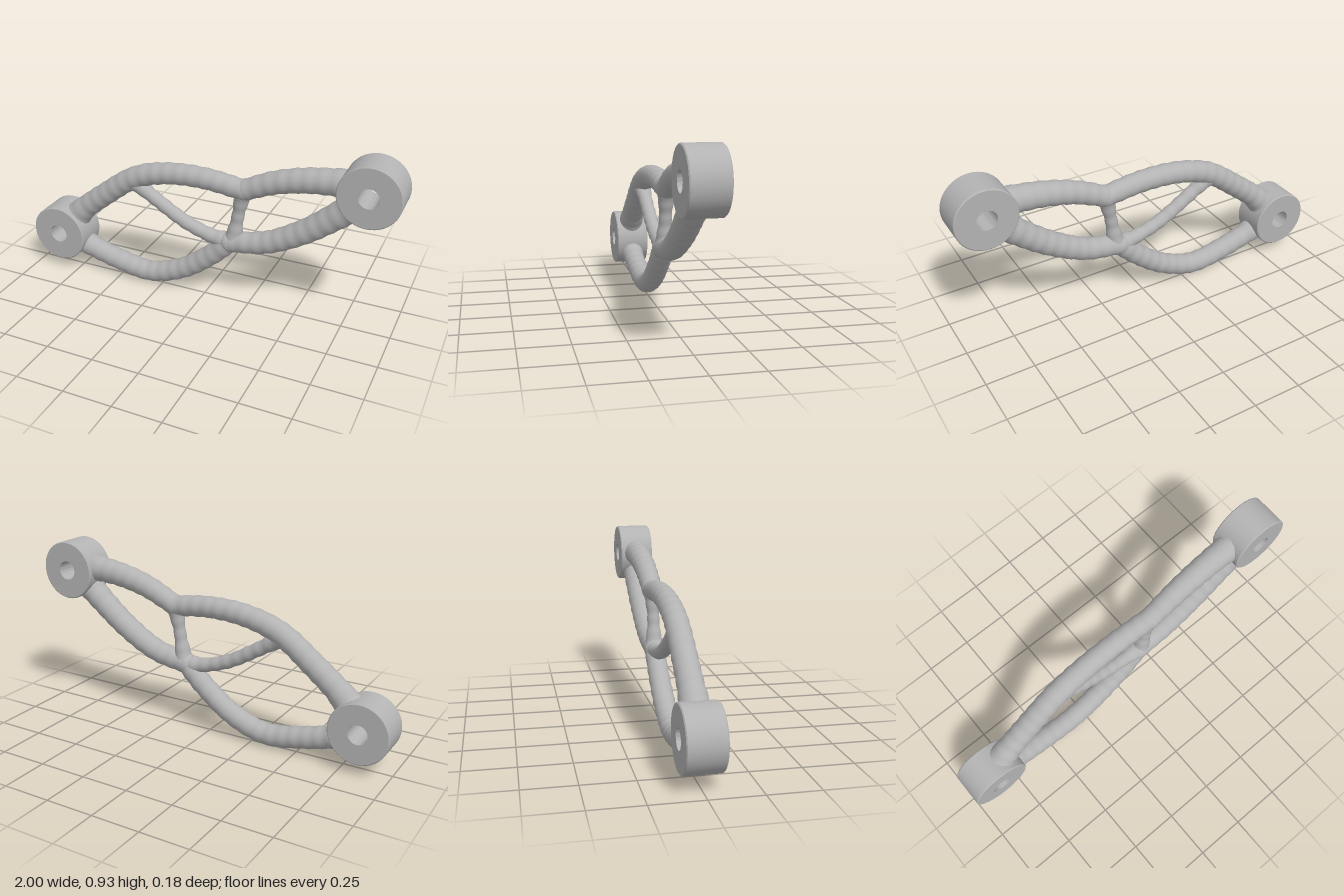
import * as THREE from 'three';
import { mergeVertices, toCreasedNormals } from 'three/addons/utils/BufferGeometryUtils.js';

const SIDES = 20;

// Round bar swept along a planar path; the radius runs r0 -> r1 with a slight
// ripple and flares (f0, f1) where it melts into its neighbour.
function bar(name, pts, r0, r1, f0, f1, material) {
  const curve = new THREE.CatmullRomCurve3(pts.map(([x, y]) => new THREE.Vector3(x, y, 0)));
  const length = curve.getLength();
  const seg = Math.ceil(length / 0.014);
  const geo = new THREE.TubeGeometry(curve, seg, 1, SIDES, false);
  const pos = geo.attributes.position;
  const v = new THREE.Vector3();
  for (let i = 0; i <= seg; i++) {
    const t = i / seg;
    const centre = curve.getPointAt(t);
    const r = THREE.MathUtils.lerp(r0, r1, t)
      + 0.0016 * Math.sin((t * length * 2 * Math.PI) / 0.068)
      + f0 * Math.exp(-((t * length / 0.075) ** 2))
      + f1 * Math.exp(-(((1 - t) * length / 0.075) ** 2));
    for (let j = 0; j <= SIDES; j++) {
      const k = i * (SIDES + 1) + j;
      v.fromBufferAttribute(pos, k).sub(centre).multiplyScalar(r).add(centre);
      pos.setXYZ(k, v.x, v.y, v.z);
    }
  }
  // weld the seam so the shading stays smooth
  geo.deleteAttribute('uv');
  geo.deleteAttribute('normal');
  const welded = mergeVertices(geo, 1e-5);
  welded.computeVertexNormals();
  const mesh = new THREE.Mesh(welded, material);
  mesh.name = name;
  return mesh;
}

// Thick ring with a through hole along z and slightly broken edges
function boss(name, x, y, material) {
  const R = 0.155, hole = 0.05, h = 0.09, c = 0.005;
  const profile = [
    [hole, -h], [R - c, -h], [R, -h + c], [R, h - c], [R - c, h], [hole, h], [hole, -h],
  ].map(([px, py]) => new THREE.Vector2(px, py));
  const geo = toCreasedNormals(new THREE.LatheGeometry(profile, 48), 0.6);
  geo.rotateX(Math.PI / 2);
  const mesh = new THREE.Mesh(geo, material);
  mesh.name = name;
  mesh.position.set(x, y, 0);
  return mesh;
}

function joint(name, x, y, r, material) {
  const mesh = new THREE.Mesh(new THREE.SphereGeometry(r, 24, 16), material);
  mesh.name = name;
  mesh.position.set(x, y, 0);
  return mesh;
}

export function createModel() {
  const group = new THREE.Group();
  group.name = 'linkArm';
  const grey = new THREE.MeshStandardMaterial({ color: 0xb3b3b3 });
  grey.name = 'grey metal';

  const upper = [0.21, 0.655];
  const lower = [0.14, 0.348];

  group.add(
    // mounting bosses
    boss('lowerBoss', -0.845, 0.215, grey),
    boss('upperBoss', 0.845, 0.775, grey),

    // upper chord
    bar('upperChordLong',
      [[-0.775, 0.3], [-0.72, 0.36], [-0.58, 0.475], [-0.39, 0.61], [-0.21, 0.665], [0, 0.678], upper],
      0.062, 0.053, 0.012, 0, grey),
    bar('upperChordShort',
      [upper, [0.38, 0.73], [0.54, 0.77], [0.7, 0.788], [0.76, 0.79]],
      0.053, 0.068, 0, 0.004, grey),

    // lower chord
    bar('lowerChordLong',
      [[-0.77, 0.17], [-0.71, 0.14], [-0.53, 0.088], [-0.32, 0.06], [-0.13, 0.125], [0.035, 0.245], lower],
      0.057, 0.054, 0.012, 0, grey),
    bar('lowerChordShort',
      [lower, [0.33, 0.387], [0.52, 0.488], [0.68, 0.61], [0.77, 0.69]],
      0.054, 0.067, 0, 0.004, grey),

    // inner brace and strut
    bar('curvedBrace',
      [[-0.41, 0.59], [-0.26, 0.495], [-0.1, 0.405], [0.04, 0.36], lower],
      0.036, 0.036, 0.012, 0.012, grey),
    bar('strut', [upper, [0.185, 0.52], [0.16, 0.365]], 0.031, 0.031, 0.016, 0.016, grey),

    // joints
    joint('upperJoint', ...upper, 0.055, grey),
    joint('lowerJoint', ...lower, 0.056, grey),
  );
  return group;
}
